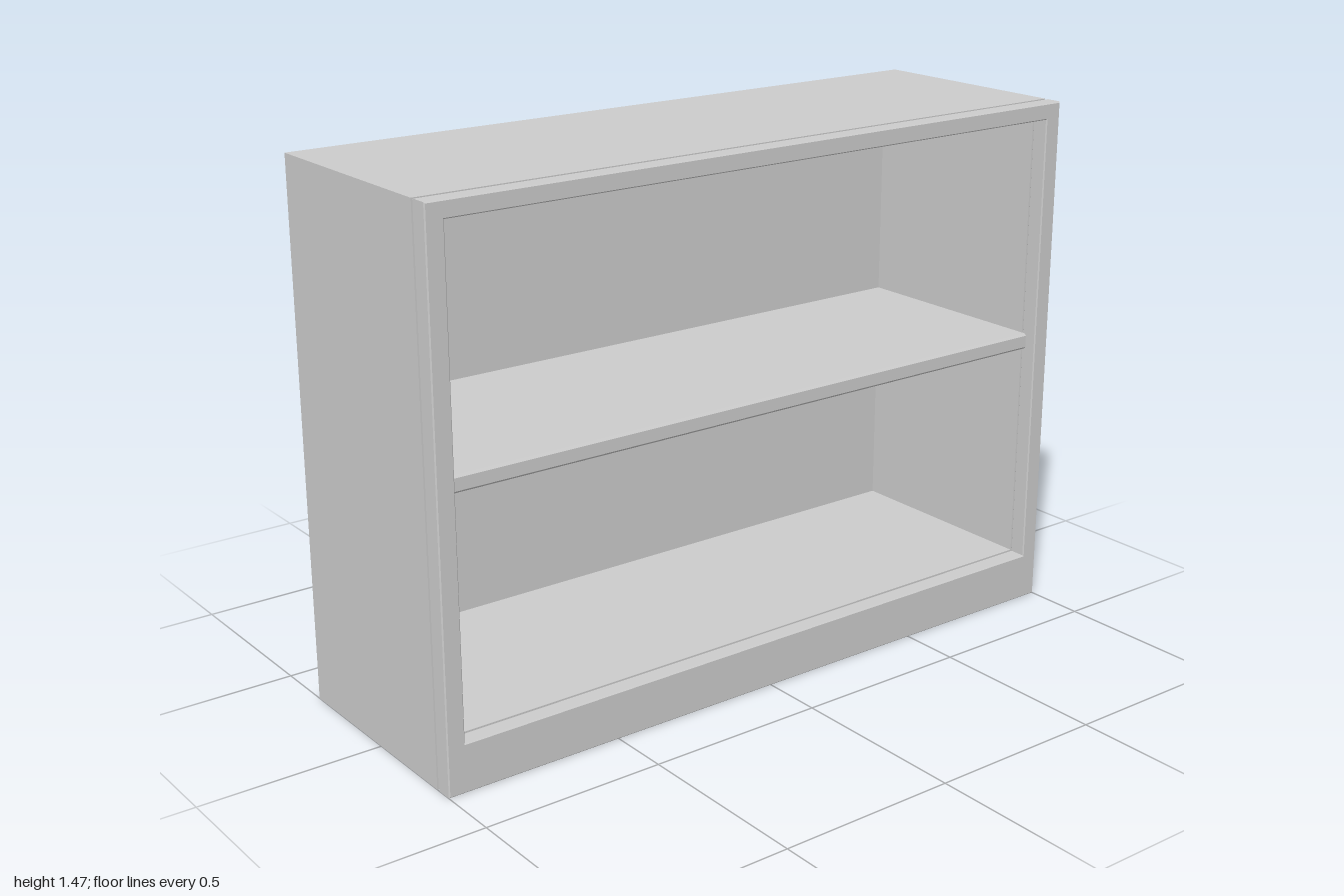
import * as THREE from 'three';

const W = 2, H = 1.465, BACK = -0.333, FRONT = 0.333;
const material = new THREE.MeshStandardMaterial({ color: 0xcccccc, flatShading: true });

function add(group, name, geometry) {
  const mesh = new THREE.Mesh(geometry, material);
  mesh.name = name;
  group.add(mesh);
  return mesh;
}

function rectangle(Type, x, y0, y1) {
  const path = new Type();
  path.moveTo(-x, y0);
  path.lineTo(x, y0);
  path.lineTo(x, y1);
  path.lineTo(-x, y1);
  path.closePath();
  return path;
}

// Rectangular ring from z0 to z1, with an optional small edge bevel
function ring(inset, opening, z0, z1, bevel = 0) {
  const e = inset + bevel;
  const shape = rectangle(THREE.Shape, W / 2 - e, e, H - e);
  shape.holes.push(rectangle(THREE.Path, opening.x + bevel, opening.y0 - bevel, opening.y1 + bevel));
  const geometry = new THREE.ExtrudeGeometry(shape, {
    depth: z1 - z0 - 2 * bevel,
    bevelEnabled: bevel > 0,
    bevelSize: bevel,
    bevelThickness: bevel,
    bevelSegments: 1,
  });
  return geometry.translate(0, 0, z0 + bevel);
}

export function createModel() {
  const bookcase = new THREE.Group();
  bookcase.name = 'bookcase';

  const cavity = { x: 0.948, y0: 0.135, y1: 1.417 };
  const backInner = BACK + 0.012;

  // Sides, top and base as one hollow carcass
  add(bookcase, 'carcass', ring(0, cavity, backInner, 0.276));

  // Back panel
  add(bookcase, 'backPanel', new THREE.BoxGeometry(W, H, backInner - BACK))
    .position.set(0, H / 2, (BACK + backInner) / 2);

  // Shallow groove between carcass and face frame
  add(bookcase, 'groove', ring(0.004, cavity, 0.276, 0.284));

  // Face frame
  add(bookcase, 'faceFrame', ring(0, { x: 0.95, y0: 0.132, y1: 1.42 }, 0.284, FRONT, 0.003));

  // Middle shelf with chamfered front edge, profile swept across the width
  const shelfFront = 0.3, c = 0.006, y0 = 0.758, y1 = 0.803;
  const profile = new THREE.Shape([
    [backInner, y0], [shelfFront - c, y0], [shelfFront, y0 + c],
    [shelfFront, y1 - c], [shelfFront - c, y1], [backInner, y1],
  ].map(([z, y]) => new THREE.Vector2(-z, y)));
  const shelf = new THREE.ExtrudeGeometry(profile, { depth: 2 * cavity.x, bevelEnabled: false });
  shelf.translate(0, 0, -cavity.x).rotateY(Math.PI / 2);
  add(bookcase, 'shelf', shelf);

  return bookcase;
}
